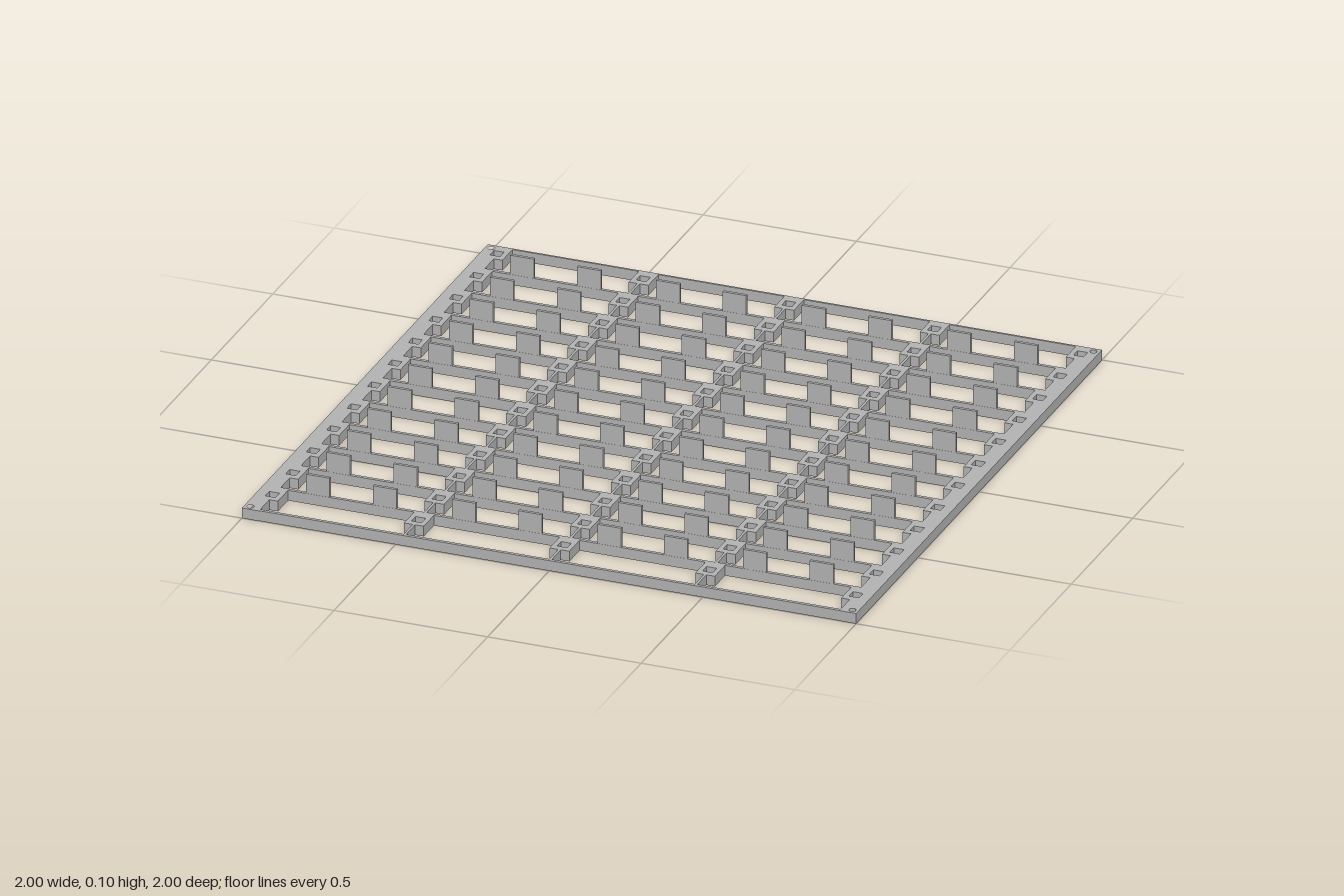
import * as THREE from 'three';

const ROWS = 12, PITCH = 0.1661, HEIGHT = 0.034, RAIL = 0.011;
const railZ = (k) => -1 + k * PITCH;            // centre of cross rail k
const BOSS_LENGTH = 0.088, HOLE = 0.033;

// Path in plan coordinates (x, z); shapes are drawn with y = -z.
const plan = (points, Type = THREE.Shape) => new Type(points.map(([x, z]) => new THREE.Vector2(x, -z)));

const squareHole = (x, z, s = HOLE / 2) =>
  plan([[x - s, z - s], [x - s, z + s], [x + s, z + s], [x + s, z - s]], THREE.Path);

function extrudeUp(shape) {
  const g = new THREE.ExtrudeGeometry(shape, { depth: HEIGHT, bevelEnabled: false, curveSegments: 8 });
  return g.rotateX(-Math.PI / 2);
}

// Side strip with a drilled boss at every row and a screw hole at both ends.
function sideRailGeometry(s) {
  const pts = [[s, 1], [s, -1]];
  for (let k = 0; k < ROWS; k++) {
    const z0 = railZ(k), z1 = z0 + BOSS_LENGTH;
    if (k > 0) pts.push([s * 0.945, z0]);
    pts.push([s * 0.917, z0], [s * 0.917, z1], [s * 0.945, z1]);
  }
  pts.push([s * 0.945, 1]);
  const shape = plan(pts);
  for (let k = 0; k < ROWS; k++) shape.holes.push(squareHole(s * 0.95, railZ(k) + 0.05));
  for (const z of [-0.98, 0.98]) {
    const hole = new THREE.Path();
    hole.absarc(s * 0.98, z, 0.011, 0, Math.PI * 2, true);
    shape.holes.push(hole);
  }
  return extrudeUp(shape);
}

export function createModel() {
  const model = new THREE.Group();
  model.name = 'slottedRack';
  const grey = new THREE.MeshStandardMaterial({ color: 0xb4b4b4 });
  grey.name = 'grey plastic';

  const add = (name, geometry, x = 0, y = 0, z = 0) => {
    const mesh = new THREE.Mesh(geometry, grey);
    mesh.name = name;
    mesh.position.set(x, y, z);
    model.add(mesh);
  };

  // Side rails
  add('leftSideRail', sideRailGeometry(1));
  add('rightSideRail', sideRailGeometry(-1));

  // Cross rails, with a thinner one closing the back
  const railGeometry = new THREE.BoxGeometry(1.9, HEIGHT, RAIL);
  add('backRail', new THREE.BoxGeometry(1.9, HEIGHT, 0.007), 0, HEIGHT / 2, -0.9965);
  for (let k = 1; k <= ROWS; k++) add('crossRail', railGeometry, 0, HEIGHT / 2, railZ(k));

  // Lengthwise ribs with square-holed bosses
  const w = 0.032;
  const bossShape = plan([[-w, 0], [-w, BOSS_LENGTH], [w, BOSS_LENGTH], [w, 0]]);
  bossShape.holes.push(squareHole(0, 0.05));
  const bossGeometry = extrudeUp(bossShape);
  const ribLength = PITCH - BOSS_LENGTH;
  const ribGeometry = new THREE.BoxGeometry(0.008, HEIGHT, ribLength);
  for (const x of [-0.474, 0, 0.474]) {
    for (let k = 0; k < ROWS; k++) {
      add('boss', bossGeometry, x, 0, railZ(k));
      add('rib', ribGeometry, x, HEIGHT / 2, railZ(k) + BOSS_LENGTH + ribLength / 2);
    }
  }

  // Upright tabs on the rails, each backed by a sloping gusset
  const tabWidth = 0.077, tabTop = 0.098;
  const tabGeometry = new THREE.BoxGeometry(tabWidth, tabTop - HEIGHT, 0.01);
  const wedge = new THREE.Shape([[0, 0], [0.037, 0], [0, HEIGHT]].map(([a, b]) => new THREE.Vector2(a, b)));
  const gussetGeometry = new THREE.ExtrudeGeometry(wedge, { depth: tabWidth, bevelEnabled: false });
  gussetGeometry.translate(0, 0, -tabWidth / 2).rotateY(Math.PI / 2);
  for (const x of [0.129, 0.345, 0.602, 0.82].flatMap((v) => [-v, v])) {
    for (let k = 1; k <= ROWS; k++) {
      add('gusset', gussetGeometry, x, 0, railZ(k) - RAIL / 2);
      if (k < ROWS) add('tab', tabGeometry, x, (HEIGHT + tabTop) / 2, railZ(k));
    }
  }
  return model;
}
